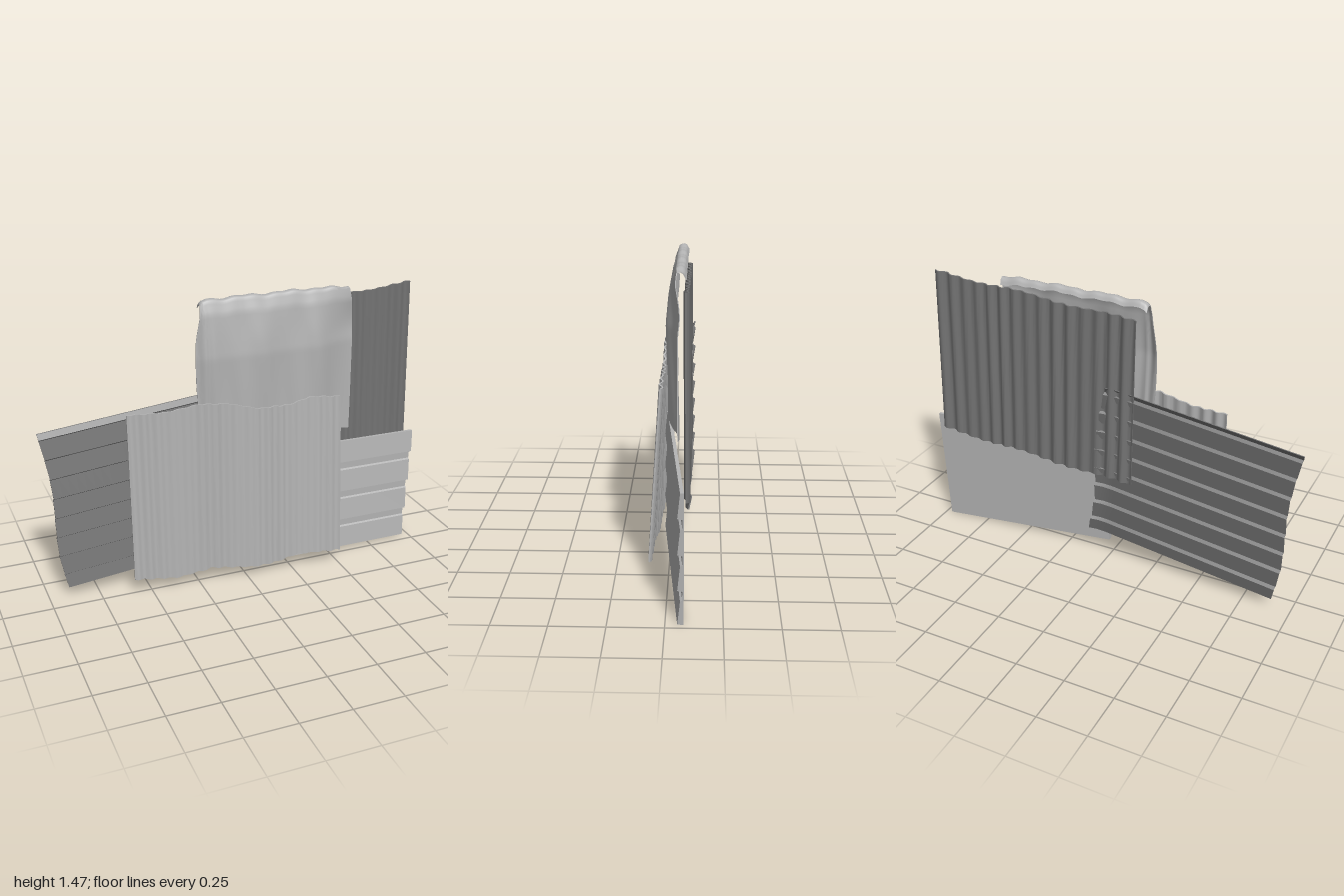
import * as THREE from 'three';
import { toCreasedNormals } from 'three/addons/utils/BufferGeometryUtils.js';

const mix = THREE.MathUtils.lerp;
const smooth = THREE.MathUtils.smoothstep;
const paint = (color) => new THREE.MeshStandardMaterial({ color, side: THREE.DoubleSide });
const pale = paint(0xb4b4b4), dark = paint(0x747474);

// Piecewise-linear lookup through [position, value] pairs
function along(points, t) {
  for (let i = 1; i < points.length; i++) {
    const [a, va] = points[i - 1], [b, vb] = points[i];
    if (t <= b) return mix(va, vb, THREE.MathUtils.clamp((t - a) / (b - a), 0, 1));
  }
  return points[points.length - 1][1];
}
const even = (n) => Array.from({ length: n + 1 }, (_, i) => i / n);

// Thin closed slab: u runs left to right, v runs top to bottom.
// at(u, v) gives a front point and its local thickness.
function sheet(name, material, us, vs, crease, at) {
  const pos = [], index = [], nu = us.length, nv = vs.length;
  for (const side of [0, 1])
    for (const v of vs) for (const u of us) {
      const [x, y, z, thickness] = at(u, v);
      pos.push(x, y, z - side * thickness);
    }
  const front = (i, j) => j * nu + i, back = (i, j) => nu * nv + j * nu + i;
  const quad = (a, b, c, d) => index.push(a, b, c, a, c, d);
  for (let j = 0; j < nv - 1; j++) for (let i = 0; i < nu - 1; i++) {
    quad(front(i, j), front(i, j + 1), front(i + 1, j + 1), front(i + 1, j));
    quad(back(i, j), back(i + 1, j), back(i + 1, j + 1), back(i, j + 1));
  }
  for (let i = 0; i < nu - 1; i++) {
    quad(front(i, 0), front(i + 1, 0), back(i + 1, 0), back(i, 0));
    quad(front(i + 1, nv - 1), front(i, nv - 1), back(i, nv - 1), back(i + 1, nv - 1));
  }
  for (let j = 0; j < nv - 1; j++) {
    quad(front(0, j + 1), front(0, j), back(0, j), back(0, j + 1));
    quad(front(nu - 1, j), front(nu - 1, j + 1), back(nu - 1, j + 1), back(nu - 1, j));
  }
  const geometry = new THREE.BufferGeometry();
  geometry.setAttribute('position', new THREE.Float32BufferAttribute(pos, 3));
  geometry.setIndex(index);
  const mesh = new THREE.Mesh(toCreasedNormals(geometry, crease), material);
  mesh.name = name;
  return mesh;
}

// Slightly irregular corrugation
const ripple = (u, n) => Math.sin(u * Math.PI * 2 * n + 0.6 * Math.sin(u * 9)) * (0.8 + 0.25 * Math.sin(u * 21));

// Front corrugated sheet, leaning back, with ragged top and bottom edges
function frontSheet() {
  const top = [[0, 0.955], [0.17, 0.95], [0.32, 0.975], [0.45, 0.96], [0.6, 0.91], [0.75, 0.91], [0.85, 0.935], [1, 0.915]];
  const bottom = [[0, 0.085], [0.2, 0.06], [0.37, 0.085], [0.58, 0.05], [0.68, 0.06], [0.78, 0.085], [1, 0.07]];
  const zTop = [[0, -0.005], [0.35, 0.037], [1, 0.038]], zBottom = [[0, 0.022], [0.5, 0.06], [1, 0.093]];
  return sheet('frontCorrugatedSheet', pale, even(144), even(8), 0.9, (u, v) => [
    mix(-0.59, 0.51, u),
    mix(along(top, u), along(bottom, u), v),
    mix(along(zTop, u), along(zBottom, u), v) + 0.007 * ripple(u, 16),
    0.008,
  ]);
}

// Upright corrugated sheet at the back
function backSheet() {
  return sheet('backCorrugatedSheet', dark, even(144), even(6), 0.9, (u, v) => [
    mix(mix(-0.155, 0.94, u), mix(-0.14, 0.96, u), v),
    mix(mix(1.37, 1.43, u), mix(0.49, 0.55, u), v) + 0.006 * Math.sin(u * 14),
    -0.083 + 0.009 * ripple(u, 15) - 0.006 * v,
    0.008,
  ]);
}

// Left sheet with eight lapped steps facing the back, its inner edge curling backwards
function leftSheet() {
  const steps = [[0, 1]];
  for (let i = 0; i < 8; i++) {
    const s = (i + 0.25) / 8;
    steps.push([s, 0], [s + 0.012, 1]);
  }
  steps.push([1, 0.1]);
  const edge = [[0, 0], [0.17, 0.03], [0.35, 0.055], [0.75, 0.06], [0.88, 0.078], [1, 0.1]];
  return sheet('leftSteppedSheet', dark, even(24), steps.map((s) => s[0]), 0.4, (u, v) => [
    mix(-1, 0, u) + along(edge, v),
    mix(mix(0.885, 1.0, u), mix(0.05, 0.165, u), v),
    mix(-0.085, -0.066, u) - 0.016 * along(steps, v) - 0.016 * smooth(u, 0.94, 1),
    0.007,
  ]);
}

// Right panel: flat back, four sloping boards in front with narrow grooves between
function rightPanel() {
  const boards = [];
  for (let i = 0; i < 4; i++) {
    const s = i * 0.273;
    boards.push([s, 0.5], [i < 3 ? s + 0.188 : 1, 1]);
    if (i < 3) boards.push([s + 0.194, 0.1], [s + 0.263, 0.1]);
  }
  return sheet('rightBoardPanel', pale, even(4), boards.map((b) => b[0]), 0.25, (u, v) => {
    const rise = 0.024 * along(boards, v);
    return [
      mix(0.03, mix(1, 0.97, v), u),
      mix(mix(0.66, 0.615, u), mix(0.05, 0, u), v),
      mix(0.008, -0.077, u) + rise,
      rise + 0.004,
    ];
  });
}

// Cloth hung in front of the back sheet, rolled over at the top and gathered at its left side
function cloth() {
  const height = [[0, 1.435], [0.04, 1.457], [0.08, 1.462], [0.12, 1.455], [0.18, 1.41], [1, 0.72]];
  const depth = [[0, -0.078], [0.04, -0.066], [0.08, -0.052], [0.12, -0.035], [0.2, -0.016], [0.45, 0.004], [1, -0.006]];
  const across = [[0, -0.205], [0.06, -0.19], [0.12, -0.17], [1, 0.58]];
  return sheet('drapedCloth', pale, even(64), even(50), 1.0, (u, v) => {
    const hang = smooth(v, 0.08, 0.4);
    const wrap = 1 - smooth(u, 0, 0.12);
    const far = smooth(u, 0.75, 1);
    const fold = 0.007 * Math.sin(u * 17 + v * 2) + 0.003 * Math.sin(u * 37 - v * 5);
    const gather = Math.exp(-(((u - 0.1 - 0.02 * v) / 0.025) ** 2));
    const corner = Math.max(0, 1 - v / 0.2) * far;
    return [
      along(across, u) - 0.03 * wrap * hang * Math.sin(v * 3) + 0.022 * hang * far - 0.01 * corner,
      along(height, v) + (0.004 * Math.sin(u * 23) + 0.003 * Math.sin(u * 51)) * (1 - hang)
        + mix(0.06, -0.02, u) * Math.max(0, v - 0.5) * 2 - 0.015 * corner - 0.02 * wrap * (1 - hang),
      along(depth, v) + hang * (fold - 0.04 * wrap - 0.04 * far - 0.016 * gather + 0.012 * (1 - u)),
      0.004,
    ];
  });
}

export function createModel() {
  const group = new THREE.Group();
  group.name = 'scrapSheetBarricade';
  group.add(frontSheet(), backSheet(), leftSheet(), rightPanel(), cloth());
  return group;
}
